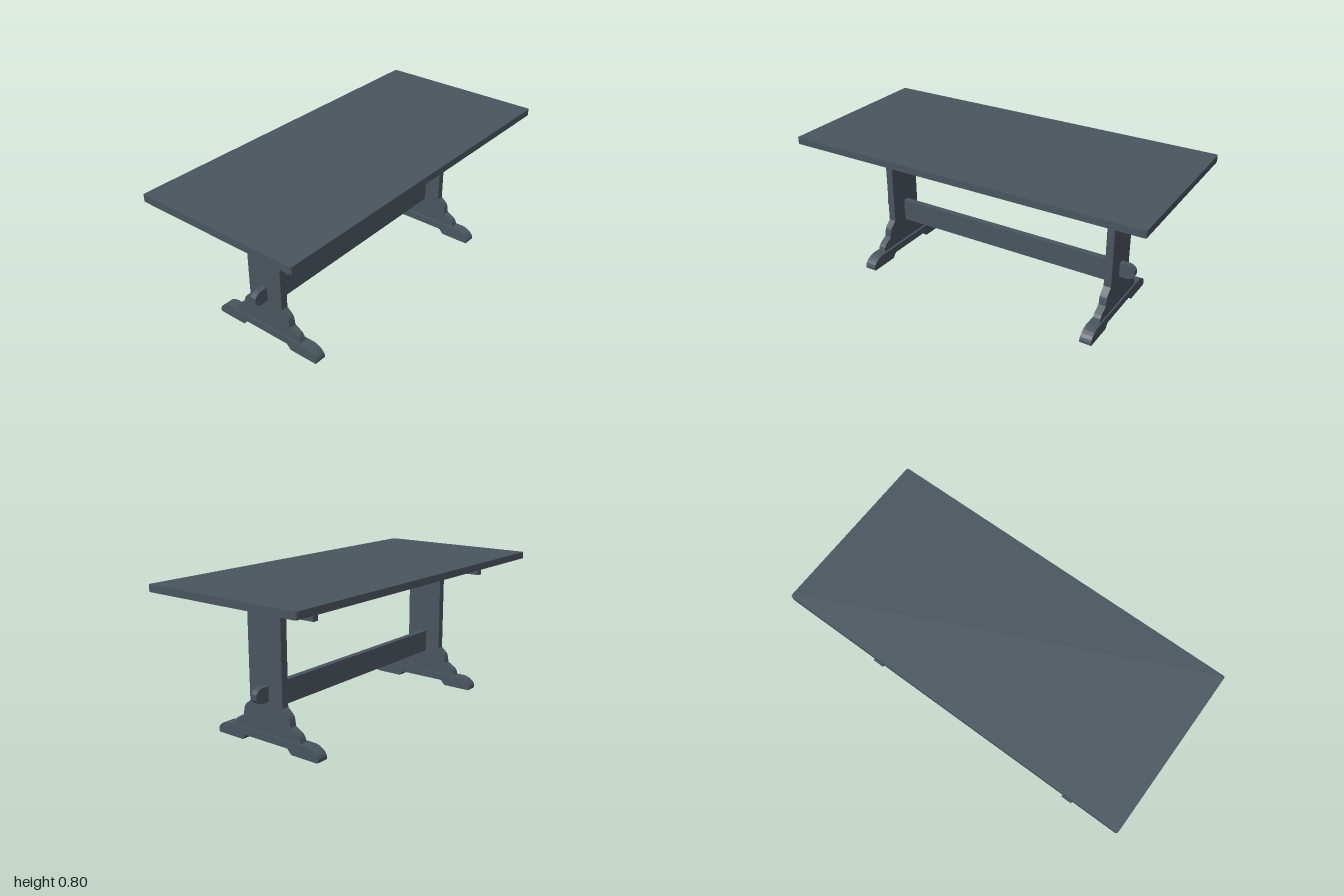
import * as THREE from 'three';

const wood = new THREE.MeshStandardMaterial({ color: 0x4a555e });
wood.name = 'slate stained wood';

function mesh(name, geometry, x = 0, y = 0, z = 0) {
  const m = new THREE.Mesh(geometry, wood);
  m.name = name;
  m.position.set(x, y, z);
  return m;
}

// Closed outline mirrored from its right half, listed bottom to top
function mirrored(half) {
  const left = half.map(([a, b]) => [-a, b]).reverse();
  return new THREE.Shape([...half, ...left].map(([a, b]) => new THREE.Vector2(a, b)));
}

// Extrusion centred on its depth
function slab(shape, depth) {
  return new THREE.ExtrudeGeometry(shape, { depth, bevelEnabled: false }).translate(0, 0, -depth / 2);
}

// Board with slightly rounded corners in plan
function topGeometry() {
  const w = 1, d = 0.472, r = 0.012;
  const s = new THREE.Shape();
  s.moveTo(-w + r, -d);
  s.lineTo(w - r, -d);
  s.quadraticCurveTo(w, -d, w, -d + r);
  s.lineTo(w, d - r);
  s.quadraticCurveTo(w, d, w - r, d);
  s.lineTo(-w + r, d);
  s.quadraticCurveTo(-w, d, -w, d - r);
  s.lineTo(-w, -d + r);
  s.quadraticCurveTo(-w, -d, -w + r, -d);
  return new THREE.ExtrudeGeometry(s, { depth: 0.037, bevelEnabled: false, curveSegments: 4 }).rotateX(-Math.PI / 2);
}

// Side profiles: distance from the centre, height
const POST = [[0.222, 0.067], [0.216, 0.09], [0.205, 0.105], [0.157, 0.133], [0.153, 0.163],
  [0.149, 0.178], [0.141, 0.19], [0.108, 0.218], [0.108, 0.763]];
const FOOT = [[0.14, 0.027], [0.165, 0], [0.33, 0], [0.336, 0.006], [0.336, 0.02], [0.33, 0.034],
  [0.316, 0.048], [0.297, 0.059], [0.275, 0.066], [0.262, 0.067]];

// Stretcher with a through tenon at each end
const STRETCHER = [[0.665, 0.19], [0.665, 0.235], [0.755, 0.235], [0.775, 0.243], [0.79, 0.26],
  [0.79, 0.29], [0.775, 0.307], [0.755, 0.315]];

function trestle(side) {
  const g = new THREE.Group();
  g.name = side > 0 ? 'leftTrestle' : 'rightTrestle';
  const post = mesh('post', slab(mirrored(POST), 0.041), side * 0.687, 0, 0.002);
  const foot = mesh('foot', slab(mirrored(FOOT), 0.064), side * 0.684, 0, 0.001);
  post.rotation.y = foot.rotation.y = Math.PI / 2;
  const cleat = mesh('cleat', new THREE.BoxGeometry(0.032, 0.076, 0.673), side * 0.723, 0.725, 0);
  g.add(post, foot, cleat);
  return g;
}

export function createModel() {
  const table = new THREE.Group();
  table.name = 'trestleTable';
  table.add(
    mesh('tabletop', topGeometry(), 0, 0.763, 0),
    trestle(1),
    trestle(-1),
    mesh('topRail', new THREE.BoxGeometry(1.326, 0.076, 0.032), -0.002, 0.725, 0),
    mesh('stretcher', slab(mirrored(STRETCHER), 0.033)),
  );
  return table;
}
